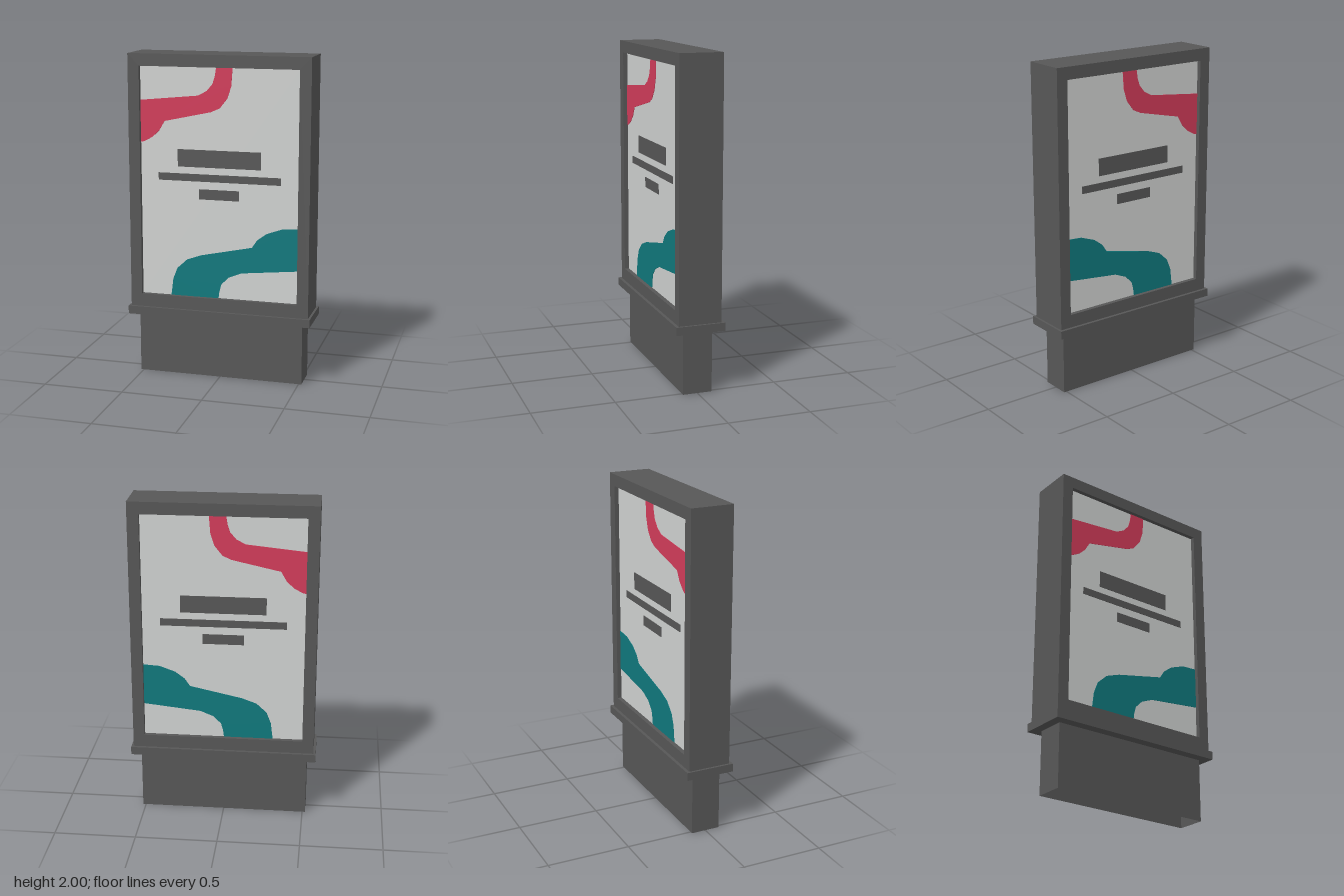
import * as THREE from 'three';

export function createModel() {
  const model = new THREE.Group();
  const material = (name, color, side = THREE.FrontSide) => {
    const m = new THREE.MeshStandardMaterial({ color, side });
    m.name = name;
    return m;
  };
  const darkGrey = material('darkGrey', 0x575757, THREE.DoubleSide);
  const paleGrey = material('paleGrey', 0xd0d2d1);
  const crimson = material('crimson', 0xd23c5a);
  const teal = material('teal', 0x10797d);

  const add = (name, geometry, mat, x = 0, y = 0, z = 0) => {
    const mesh = new THREE.Mesh(geometry, mat);
    mesh.name = name;
    mesh.position.set(x, y, z);
    model.add(mesh);
    return mesh;
  };
  const rectangle = (w, y0, y1) => [[-w, y0], [w, y0], [w, y1], [-w, y1]];
  const outline = (points) => new THREE.Shape(points.map(([x, y]) => new THREE.Vector2(x, y)));
  const extrude = (shape, depth) => {
    const g = new THREE.ExtrudeGeometry(shape, { depth, bevelEnabled: false });
    return g.translate(0, 0, -depth / 2);
  };

  // Hollow plinth, open underneath
  const plinth = new THREE.BoxGeometry(1.036, 0.386, 0.18);
  const index = Array.from(plinth.index.array);
  index.splice(18, 6);
  plinth.setIndex(index);
  plinth.clearGroups();
  add('plinth', plinth, darkGrey, 0, 0.193);

  // Projecting ledge between plinth and cabinet
  add('ledge', new THREE.BoxGeometry(1.148, 0.05, 0.302), darkGrey, 0, 0.41);

  // Cabinet frame with a window through it
  const frame = outline(rectangle(0.56, 0.435, 2));
  frame.holes.push(outline(rectangle(0.49, 0.515, 1.926)));
  add('cabinetFrame', extrude(frame, 0.264), darkGrey);

  // Recessed poster board seen from both sides
  const posterZ = 0.105;
  add('posterBoard', new THREE.BoxGeometry(0.98, 1.411, posterZ * 2), paleGrey, 0, 1.2205);

  // Flat artwork, repeated on front and back
  const crimsonSwoosh = [
    [-0.49, 1.72], [-0.13, 1.756], [-0.076, 1.785], [-0.04, 1.827], [-0.026, 1.87],
    [-0.017, 1.926], [0.083, 1.926], [0.075, 1.817], [0.051, 1.743], [0.004, 1.684],
    [-0.05, 1.66], [-0.34, 1.597], [-0.372, 1.541], [-0.415, 1.499], [-0.468, 1.47], [-0.49, 1.465],
  ];
  const tealSwoosh = [
    [-0.306, 0.515], [-0.293, 0.62], [-0.266, 0.689], [-0.203, 0.747], [-0.113, 0.779],
    [0.205, 0.847], [0.237, 0.895], [0.295, 0.938], [0.39, 0.972], [0.49, 0.978],
    [0.49, 0.72], [0.141, 0.683], [0.062, 0.651], [0.014, 0.604], [0.001, 0.556], [-0.004, 0.515],
  ];
  const artwork = [
    ['CrimsonSwoosh', crimsonSwoosh, crimson],
    ['TealSwoosh', tealSwoosh, teal],
    ['HeadingBar', rectangle(0.258, 1.324, 1.43), darkGrey],
    ['WideBar', rectangle(0.38, 1.237, 1.282), darkGrey],
    ['SmallBar', rectangle(0.125, 1.128, 1.19), darkGrey],
  ];
  for (const [side, sign] of [['front', 1], ['back', -1]]) {
    for (const [name, points, mat] of artwork) {
      add(side + name, extrude(outline(points), 0.004), mat, 0, 0, sign * (posterZ + 0.001));
    }
  }

  return model;
}
